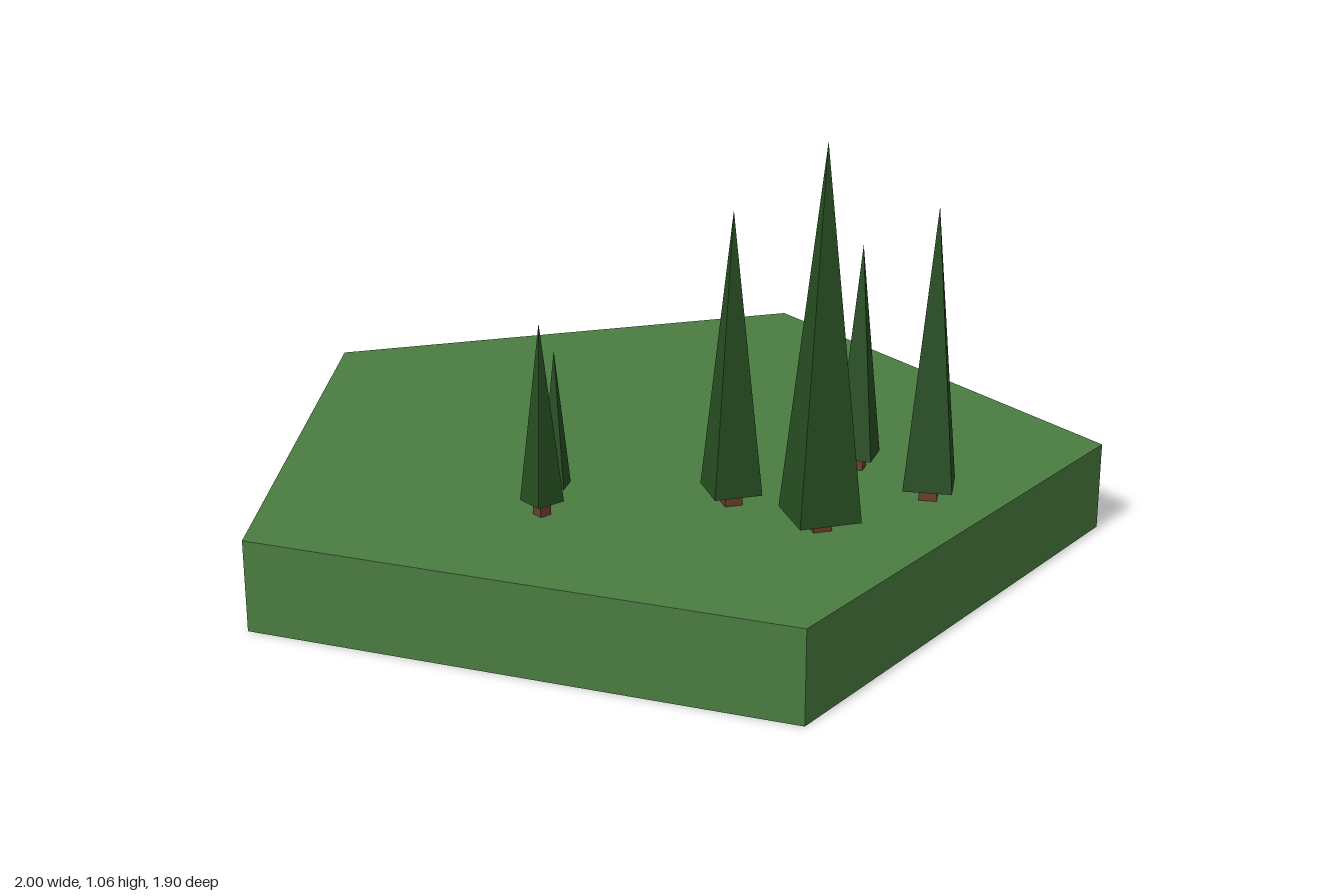
import * as THREE from 'three';

const material = (color) => new THREE.MeshStandardMaterial({ color, flatShading: true });

export function createModel() {
  const model = new THREE.Group();
  model.name = 'groveTile';
  const grass = material(0x4a7c40);
  const needles = material(0x264d20);
  const bark = material(0x6b3f2a);

  const add = (parent, name, geometry, mat, y) => {
    const mesh = new THREE.Mesh(geometry, mat);
    mesh.name = name;
    mesh.position.y = y;
    parent.add(mesh);
    return mesh;
  };

  // Five-sided slab of ground, one corner pointing forward
  const groundTop = 0.21;
  const ground = add(model, 'ground', new THREE.CylinderGeometry(1.052, 1.052, groundTop, 5), grass, groundTop / 2);
  ground.position.z = -0.101;

  // Four-sided conifers: x, z, tip height, half width, trunk half width, turn in degrees
  const trees = [
    [0.19, 0.503, 1.055, 0.069, 0.021, 0],
    [0.052, 0.316, 0.875, 0.054, 0.02, 0],
    [0.48, 0.41, 0.875, 0.054, 0.02, -27],
    [0.394, 0.198, 0.74, 0.041, 0.016, -36],
    [-0.361, 0.262, 0.645, 0.034, 0.014, 23],
    [-0.311, 0.183, 0.555, 0.026, 0.01, -31],
  ];
  const foliageBase = 0.242;
  for (const [x, z, tip, half, trunkHalf, turn] of trees) {
    const tree = new THREE.Group();
    tree.name = 'tree';
    tree.position.set(x, 0, z);
    tree.rotation.y = THREE.MathUtils.degToRad(turn);
    model.add(tree);

    const height = tip - foliageBase;
    const cone = new THREE.ConeGeometry(half * Math.SQRT2, height, 4).rotateY(Math.PI / 4);
    add(tree, 'foliage', cone, needles, foliageBase + height / 2);

    const trunkHeight = 0.06;
    const trunk = new THREE.BoxGeometry(trunkHalf * 2, trunkHeight, trunkHalf * 2);
    add(tree, 'trunk', trunk, bark, groundTop - 0.01 + trunkHeight / 2);
  }

  return model;
}
